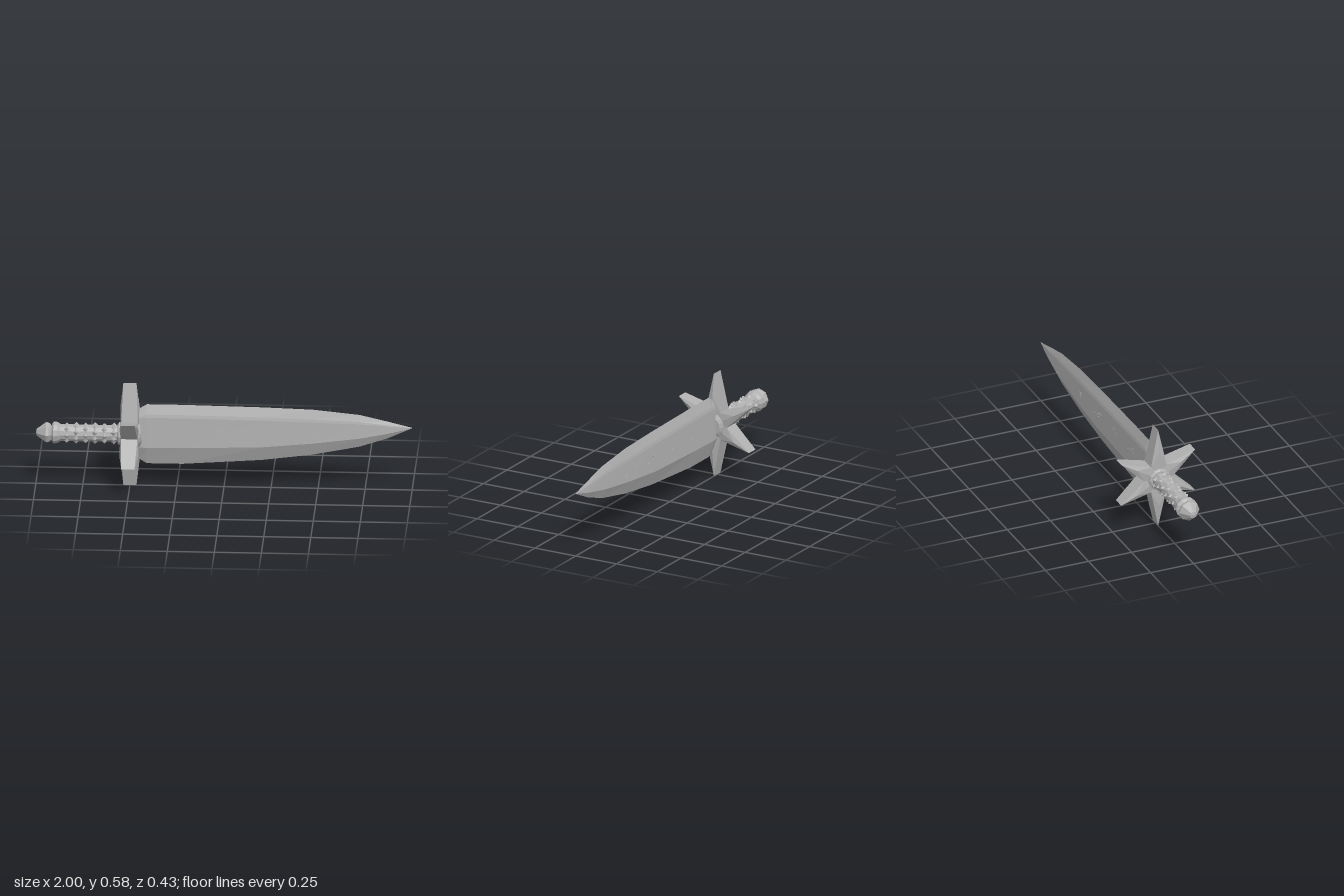
import * as THREE from 'three';

const steel = new THREE.MeshStandardMaterial({ color: 0xb0b0b0 });
steel.name = 'steel grey';
const AXIS = 0.29; // height of the grip axis

function addMesh(parent, geometry, name) {
  const flat = geometry.index ? geometry.toNonIndexed() : geometry;
  flat.computeVertexNormals();
  const mesh = new THREE.Mesh(flat, steel);
  mesh.name = name;
  parent.add(mesh);
  return mesh;
}

// Skin of cross-sections along x, each ring a list of [y, z] running top, +z, bottom, -z
function loft(sections) {
  const pos = [];
  const count = sections[0].ring.length;
  const at = (s, i) => [s.x[i % s.x.length], ...s.ring[i]];
  const tri = (a, b, c) => pos.push(...a, ...b, ...c);
  for (let s = 0; s < sections.length - 1; s++) {
    const a = sections[s], b = sections[s + 1];
    for (let i = 0; i < count; i++) {
      const j = (i + 1) % count;
      tri(at(a, i), at(a, j), at(b, i));
      tri(at(a, j), at(b, j), at(b, i));
    }
  }
  for (const [s, end] of [[sections[0], false], [sections[sections.length - 1], true]]) {
    const mid = [s.x[0], s.ring.reduce((t, p) => t + p[0], 0) / count, 0];
    for (let i = 0; i < count; i++) {
      const j = (i + 1) % count;
      if (end) tri(mid, at(s, i), at(s, j));
      else tri(mid, at(s, j), at(s, i));
    }
  }
  const g = new THREE.BufferGeometry();
  g.setAttribute('position', new THREE.Float32BufferAttribute(pos, 3));
  return g;
}

// Turned part along x from [x, radius] pairs
function turned(profile, sides) {
  const g = new THREE.LatheGeometry(profile.map(([x, r]) => new THREE.Vector2(r, x)), sides);
  return g.rotateZ(-Math.PI / 2).translate(0, AXIS, 0);
}

export function createModel() {
  const model = new THREE.Group();
  model.name = 'dagger';

  // Blade: x, top edge, upper ridge, lower ridge, bottom edge, half thickness
  const stations = [
    [-0.45, 0.435, 0.385, 0.225, 0.15, 0.029],
    [-0.41, 0.459, 0.39, 0.222, 0.125, 0.031],
    [-0.22, 0.459, 0.39, 0.225, 0.125, 0.031],
    [0.2, 0.453, 0.385, 0.237, 0.155, 0.03],
    [0.47, 0.445, 0.378, 0.262, 0.19, 0.027],
    [0.72, 0.42, 0.372, 0.293, 0.24, 0.022],
    [0.87, 0.385, 0.36, 0.32, 0.29, 0.014],
    [1, 0.352, 0.351, 0.35, 0.349, 0.002],
  ];
  addMesh(model, loft(stations.map(([x, top, up, low, bottom, t]) => ({
    x: [x],
    ring: [
      [top, 0], [up + (top - up) * 0.25, t * 0.6], [up, t * 0.72], [low, t], [bottom, 0],
      [low, -t], [up, -t * 0.72], [up + (top - up) * 0.25, -t * 0.6],
    ],
  }))), 'blade');

  // Zigzag marks on both faces of the blade
  const zigzag = new THREE.Shape([
    [-0.075, 0.016], [0.03, 0.01], [0.012, -0.006], [0.075, -0.022], [-0.02, -0.014], [-0.006, 0.004],
  ].map(p => new THREE.Vector2(...p)));
  const marks = new THREE.Group();
  marks.name = 'bladeMarks';
  model.add(marks);
  for (const [x, z] of [[-0.25, 0.0255], [-0.03, 0.0252], [0.2, 0.0252], [0.44, 0.0233], [0.68, 0.0195]]) {
    for (const side of [1, -1]) {
      const g = new THREE.ExtrudeGeometry(zigzag, { depth: 0.002, bevelEnabled: false });
      g.translate(0, 0, -0.001).rotateX(-side * 0.06).translate(x, 0.322, side * z);
      addMesh(marks, g, 'mark');
    }
  }

  // Six-pointed star guard with ridged arms
  const tips = [[0.577, 0], [0.413, 0.215], [0.167, 0.215], [0, 0], [0.167, -0.215], [0.413, -0.215]];
  const ridges = [[0.45, 0], [0.365, 0.13], [0.215, 0.13], [0.13, 0], [0.215, -0.13], [0.365, -0.13]];
  const valleys = [[0.365, 0.045], [0.29, 0.085], [0.215, 0.045], [0.215, -0.045], [0.29, -0.085], [0.365, -0.045]];
  const star = points => points.flatMap((p, i) => [p, valleys[i]]);
  const cx = -0.5;
  addMesh(model, loft([
    { x: [cx - 0.05, cx - 0.044], ring: star(ridges) },
    { x: [cx - 0.035, cx - 0.044], ring: star(tips) },
    { x: [cx + 0.035, cx + 0.044], ring: star(tips) },
    { x: [cx + 0.05, cx + 0.044], ring: star(ridges) },
  ]), 'guard');

  // Collars on each side of the guard
  addMesh(model, turned([[-0.47, 0], [-0.47, 0.068], [-0.447, 0.068], [-0.437, 0.05], [-0.437, 0]], 16), 'bladeCollar');
  addMesh(model, turned([[-0.565, 0], [-0.565, 0.052], [-0.558, 0.062], [-0.54, 0.062], [-0.53, 0]], 12), 'gripCollar');

  // Grip and its flared end
  addMesh(model, turned([
    [-0.915, 0], [-0.915, 0.045], [-0.905, 0.06], [-0.885, 0.057], [-0.868, 0.046], [-0.55, 0.044], [-0.55, 0],
  ], 12), 'grip');

  // Staggered studs around the grip
  const studs = new THREE.Group();
  studs.name = 'gripStuds';
  model.add(studs);
  for (let row = 0; row < 6; row++) {
    for (let i = 0; i < 8; i++) {
      const g = new THREE.ConeGeometry(0.019, 0.018, 4);
      g.translate(0, 0.049, 0).rotateX(((i + (row % 2) / 2) * Math.PI) / 4);
      addMesh(studs, g.translate(-0.835 + row * 0.05, AXIS, 0), 'stud');
    }
  }

  // Faceted pommel
  addMesh(model, turned([
    [-1, 0], [-0.995, 0.02], [-0.945, 0.058], [-0.93, 0.055], [-0.91, 0.034], [-0.905, 0],
  ], 8), 'pommel');

  return model;
}
